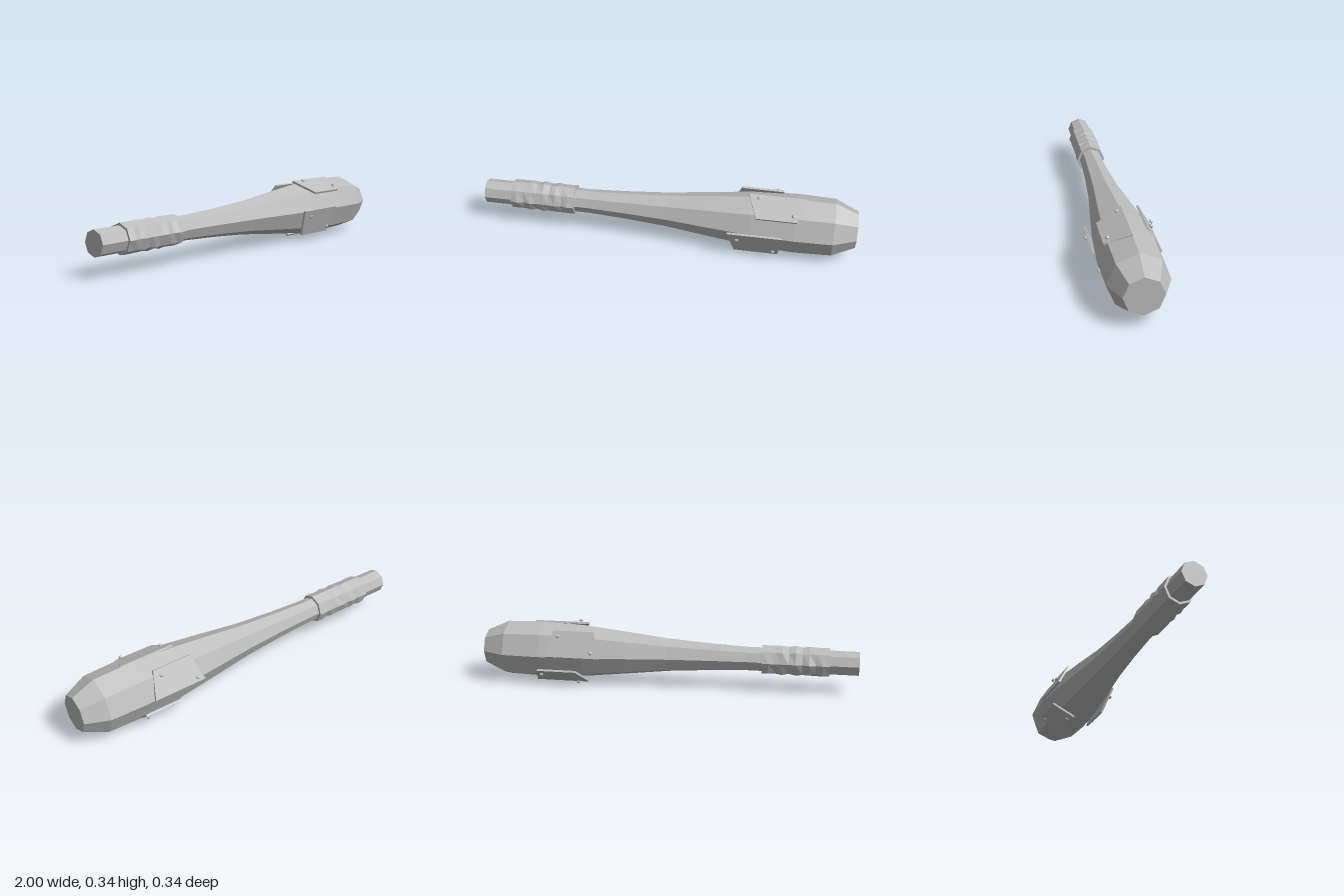
import * as THREE from 'three';
import { ConvexGeometry } from 'three/addons/geometries/ConvexGeometry.js';

const CY = 0.171; // height of the long axis
const SIDES = 8;

// Faceted octagonal skin through [x, radius] rings along the x axis
function loft(rings, bump = () => 0) {
  const point = (i, j) => {
    const [x, r] = rings[i];
    const k = j % SIDES;
    const a = (k / SIDES) * Math.PI * 2;
    const rr = r + (r > 0 ? bump(i, k) : 0);
    return [x, CY + rr * Math.cos(a), rr * Math.sin(a)];
  };
  const pos = [];
  for (let i = 0; i < rings.length - 1; i++) {
    for (let j = 0; j < SIDES; j++) {
      const a = point(i, j), b = point(i, j + 1), c = point(i + 1, j + 1), d = point(i + 1, j);
      if (rings[i][1] > 0) pos.push(...a, ...b, ...c);
      if (rings[i + 1][1] > 0) pos.push(...a, ...c, ...d);
      else if (rings[i][1] > 0) continue;
    }
  }
  const g = new THREE.BufferGeometry();
  g.setAttribute('position', new THREE.Float32BufferAttribute(pos, 3));
  g.computeVertexNormals();
  return g;
}

export function createModel() {
  const group = new THREE.Group();
  const grey = new THREE.MeshStandardMaterial({ color: 0xbcbcbc });
  grey.name = 'grey';

  const add = (name, geometry, parent = group) => {
    const mesh = new THREE.Mesh(geometry, grey);
    mesh.name = name;
    parent.add(mesh);
    return mesh;
  };

  // Club: thin handle swelling to a heavy, chamfered head
  add('club', loft([
    [-1, 0], [-1, 0.065], [-0.42, 0.065], [-0.22, 0.075], [0, 0.091], [0.2, 0.115],
    [0.45, 0.143], [0.68, 0.156], [0.88, 0.15], [1, 0.097], [1, 0],
  ]));

  // Lumpy wrapped grip
  const gripRings = [[-0.85, 0.058], [-0.85, 0.077]];
  for (let i = 1; i < 10; i++) gripRings.push([-0.85 + i * 0.035, i % 2 ? 0.08 : 0.076]);
  gripRings.push([-0.5, 0.079], [-0.5, 0.058]);
  const last = gripRings.length - 1;
  add('grip', loft(gripRings, (i, j) =>
    i < 2 || i > last - 2 ? 0 : 0.0025 * Math.sin(i * 2.3 + j * 1.9)));

  // Riveted plates: two opposite edges as [z, y, xStart, xEnd], rivets as [x, z, y]
  const plates = [
    { name: 'frontUpperPlate', edges: [[0, 0.332, 0.43, 0.73], [0.128, 0.272, 0.48, 0.69]],
      rivets: [[0.485, 0.03, 0.333], [0.67, 0.107, 0.296]] },
    { name: 'frontLowerPlate', edges: [[0.167, 0.182, 0.337, 0.625], [0.112, 0.038, 0.375, 0.605]],
      rivets: [[0.39, 0.167, 0.147], [0.58, 0.133, 0.067]] },
    { name: 'backUpperPlate', edges: [[-0.165, 0.178, 0.345, 0.64], [-0.095, 0.305, 0.39, 0.605]],
      rivets: [[0.39, -0.163, 0.208], [0.575, -0.122, 0.283]] },
    { name: 'backLowerPlate', edges: [[-0.04, 0.008, 0.43, 0.72], [-0.15, 0.092, 0.48, 0.69]],
      rivets: [[0.485, -0.063, 0.012], [0.67, -0.133, 0.067]] },
  ];
  for (const { name, edges, rivets } of plates) {
    const part = new THREE.Group();
    part.name = name;
    group.add(part);

    const [[z1, y1], [z2, y2]] = edges;
    const normal = new THREE.Vector3(0, z2 - z1, y1 - y2).normalize();
    if (normal.y * (y1 + y2 - 2 * CY) + normal.z * (z1 + z2) < 0) normal.negate();

    const corners = [];
    for (const [z, y, xa, xb] of edges) {
      for (const x of [xa, xb]) {
        const outer = new THREE.Vector3(x, y, z);
        corners.push(outer, outer.clone().addScaledVector(normal, -0.011));
      }
    }
    add('plate', new ConvexGeometry(corners), part);

    // Small faceted rivet heads
    for (const [x, z, y] of rivets) {
      const g = new THREE.SphereGeometry(0.0115, 6, 4).scale(1, 0.6, 1).toNonIndexed();
      g.computeVertexNormals();
      const rivet = add('rivet', g, part);
      rivet.position.set(x, y, z);
      rivet.quaternion.setFromUnitVectors(new THREE.Vector3(0, 1, 0), normal);
    }
  }
  return group;
}
